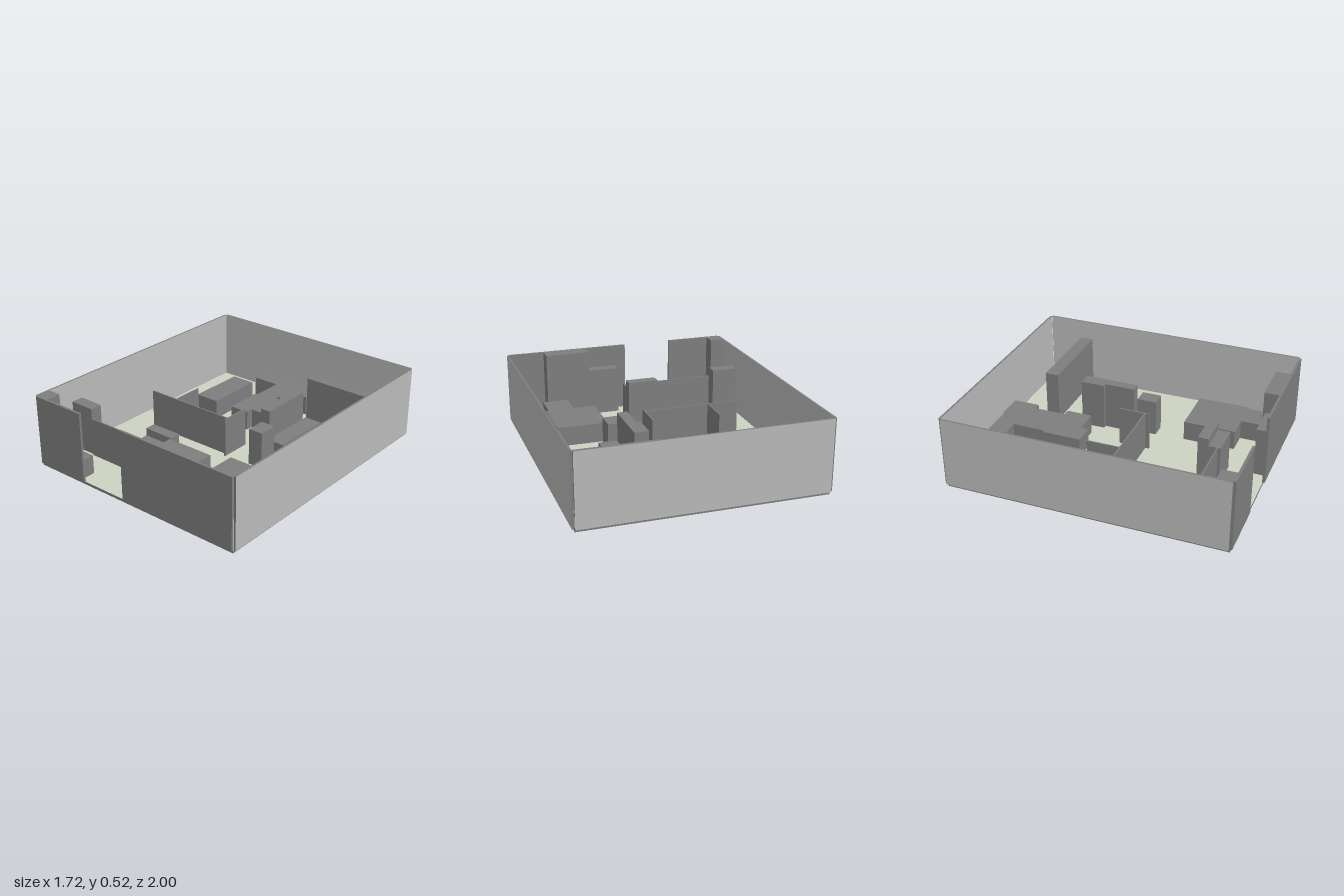
import * as THREE from 'three';

const darkGrey = new THREE.MeshStandardMaterial({ color: 0x7e7e7e });
const lightGrey = new THREE.MeshStandardMaterial({ color: 0xbababa });
const paleGreen = new THREE.MeshStandardMaterial({ color: 0xccd4c3 });
darkGrey.name = 'dark grey';
lightGrey.name = 'light grey';
paleGreen.name = 'pale green floor';

const FLOOR = 0.02;   // top of the floor slab
const TOP = 0.525;    // top of the outer walls
const LOW = 0.162;    // table and seat height
const SCREEN = 0.302; // partition height
const TALL = 0.37;    // cabinet height

export function createModel() {
  const model = new THREE.Group();
  model.name = 'roomInterior';

  // Box given by its limits on the plan and its bottom and top
  function block(name, x0, x1, z0, z1, top, bottom = FLOOR, material = darkGrey) {
    const mesh = new THREE.Mesh(new THREE.BoxGeometry(x1 - x0, top - bottom, z1 - z0), material);
    mesh.position.set((x0 + x1) / 2, (bottom + top) / 2, (z0 + z1) / 2);
    mesh.name = name;
    model.add(mesh);
  }

  // Low furniture extruded upwards from an outline of [x, z] points
  function slab(name, outline, top) {
    const shape = new THREE.Shape(outline.map(([x, z]) => new THREE.Vector2(x, -z)));
    const geometry = new THREE.ExtrudeGeometry(shape, { depth: top - FLOOR, bevelEnabled: false });
    geometry.rotateX(-Math.PI / 2);
    const mesh = new THREE.Mesh(geometry, darkGrey);
    mesh.position.y = FLOOR;
    mesh.name = name;
    model.add(mesh);
  }

  // Face order of a box: +x, -x, +y, -y, +z, -z
  const D = darkGrey, L = lightGrey;
  block('floor', -0.842, 0.842, -0.984, 0.984, FLOOR, 0, [D, D, paleGreen, D, D, D]);

  // Outer walls: light panels with dark rims, and a dark front with a doorway
  for (const [name, s] of [['leftWall', 1], ['rightWall', -1]]) {
    block(name, s * 0.851 - 0.007, s * 0.851 + 0.007, -0.984, 0.98, TOP, FLOOR, [L, L, D, D, D, D]);
  }
  block('backWall', -0.842, 0.842, -1, -0.985, TOP, FLOOR, [D, D, D, D, L, L]);
  block('frontWallRight', -0.842, -0.425, 0.98, 0.997, TOP);
  block('frontWallLeft', -0.064, 0.842, 0.98, 0.997, TOP);

  // Tables and seats
  slab('backTable', [
    [-0.40, -0.945], [-0.40, -0.81], [-0.20, -0.81], [-0.20, -0.57],
    [-0.22, -0.57], [-0.22, -0.29], [-0.07, -0.29], [-0.07, -0.345],
    [0.112, -0.345], [0.112, -0.53], [0.06, -0.53], [0.06, -0.765],
    [0.112, -0.765], [0.112, -0.955], [-0.07, -0.955], [-0.07, -0.945],
  ], LOW);
  slab('frontTable', [
    [0.27, 0.31], [0.27, 0.685], [0.43, 0.685], [0.43, 0.875],
    [0.62, 0.875], [0.62, 0.685], [0.64, 0.685], [0.64, 0.31],
  ], LOW);
  block('sideTable', -0.545, -0.362, -0.72, -0.288, LOW);
  block('middleBench', 0.305, 0.435, -0.49, -0.045, LOW);
  block('frontBench', -0.745, -0.465, 0.867, 0.98, 0.155);

  // Cabinets and shelves
  block('backCounter', 0.205, 0.843, -0.74, -0.643, 0.385);
  block('middleCabinetBack', 0.205, 0.305, -0.455, -0.282, TALL);
  block('middleCabinetFront', 0.233, 0.305, -0.282, -0.06, TALL);
  block('smallCabinet', 0.255, 0.365, -0.04, 0.1, 0.285);
  block('entryCabinetBack', -0.19, 0.033, 0.555, 0.63, 0.355);
  block('entryCabinetFront', -0.19, 0.033, 0.63, 0.715, SCREEN);
  block('wallCabinet', -0.843, -0.655, 0.597, 0.685, TALL);
  block('frontCabinet', 0.02, 0.255, 0.895, 0.98, TALL);
  block('frontWardrobe', 0.255, 0.58, 0.877, 0.98, TOP);
  block('cornerColumn', -0.843, -0.745, 0.877, 0.98, TOP);

  // Thin partitions
  block('middlePartition', -0.64, 0.06, 0.085, 0.095, SCREEN);
  block('partitionWingRight', -0.42, -0.41, -0.145, 0.085, SCREEN);
  block('partitionWingLeft', 0.055, 0.065, -0.1, 0.122, SCREEN);
  block('entryPartition', -0.655, -0.19, 0.685, 0.695, SCREEN);

  return model;
}
